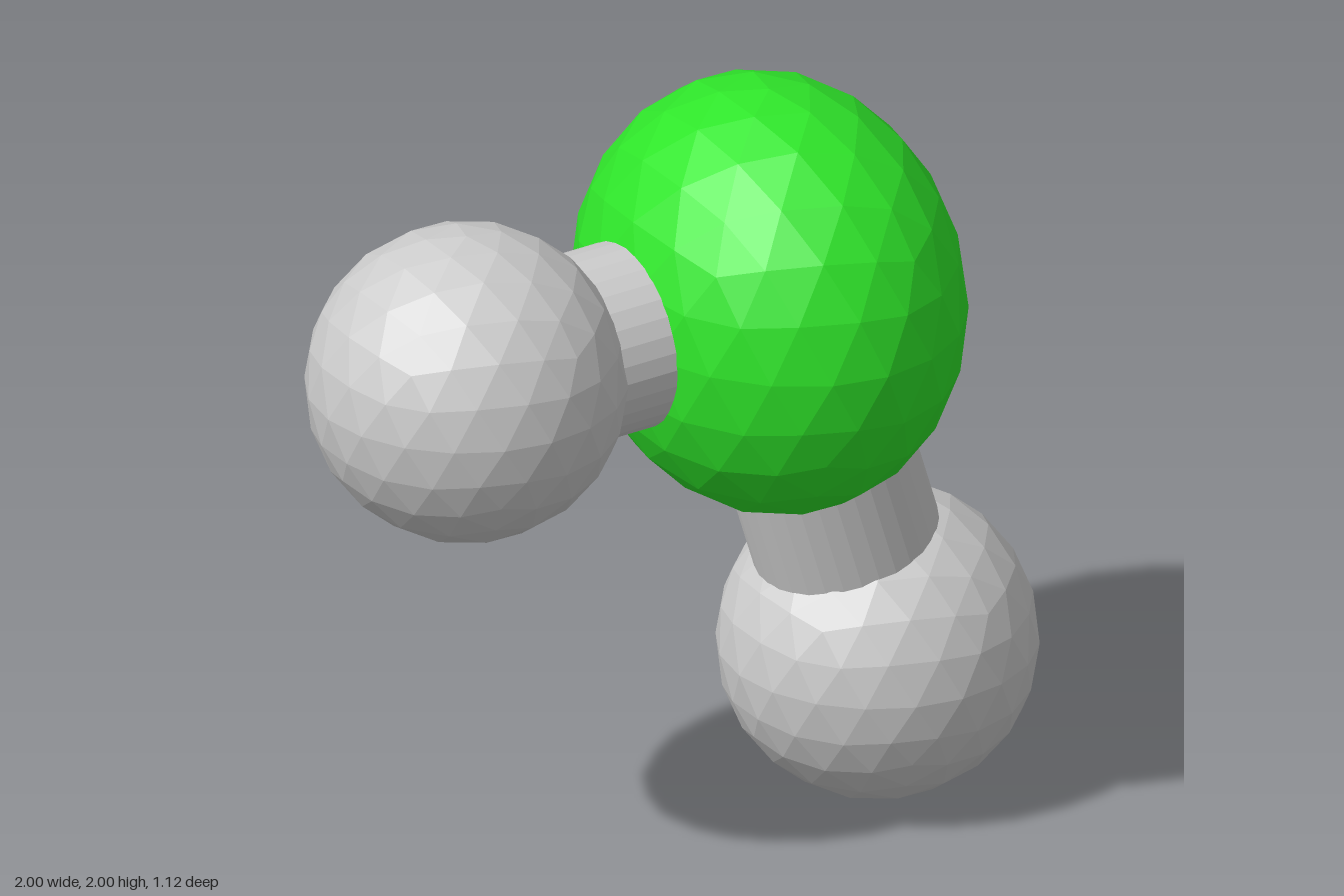
import * as THREE from 'three';

const grey = new THREE.MeshStandardMaterial({ color: 0xcccccc, flatShading: true });
const green = new THREE.MeshStandardMaterial({ color: 0x2fe62a, flatShading: true });

// Faceted ball with a vertex at each pole
function ball(name, centre, radii, material) {
  const geometry = new THREE.IcosahedronGeometry(1, 3);
  geometry.rotateZ(-Math.atan(2 / (1 + Math.sqrt(5))));
  geometry.scale(...radii);
  const mesh = new THREE.Mesh(geometry, material);
  mesh.name = name;
  mesh.position.copy(centre);
  return mesh;
}

// Round rod running between two points
function rod(name, from, to, radius) {
  const axis = to.clone().sub(from);
  const mesh = new THREE.Mesh(new THREE.CylinderGeometry(radius, radius, axis.length(), 32), grey);
  mesh.name = name;
  mesh.position.copy(from).addScaledVector(axis, 0.5);
  mesh.quaternion.setFromUnitVectors(new THREE.Vector3(0, 1, 0), axis.normalize());
  return mesh;
}

export function createModel() {
  const model = new THREE.Group();
  model.name = 'bentMolecule';

  // Central atom, squashed along x
  const centre = new THREE.Vector3(0.28, 1.44, 0);
  model.add(ball('centralAtom', centre, [0.465, 0.56, 0.56], green));

  // Outer atoms, each joined to the centre by a bond
  const outer = { side: [-0.6, 1.42, 0], lower: [0.595, 0.405, 0] };
  for (const [key, position] of Object.entries(outer)) {
    const end = new THREE.Vector3(...position);
    model.add(ball(key + 'Atom', end, [0.402, 0.402, 0.402], grey));
    model.add(rod(key + 'Bond', end, centre, 0.238));
  }
  return model;
}
